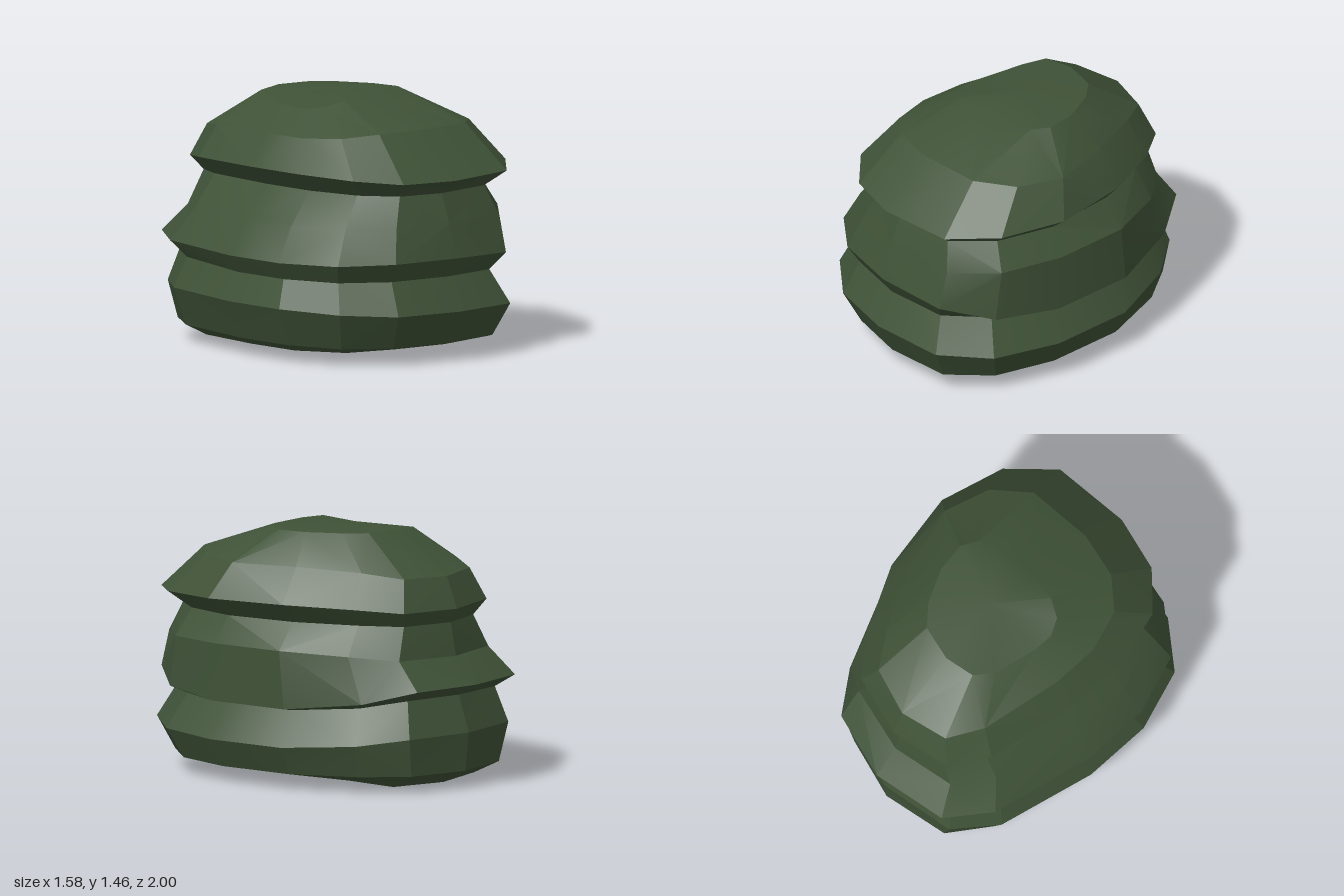
import * as THREE from 'three';
import { toCreasedNormals } from 'three/addons/utils/BufferGeometryUtils.js';

// Rough unit outline seen from above, from the front round through +x
const OUTLINE = [
  [0.02, 1], [0.6, 0.95], [0.88, 0.7], [1, 0.3], [0.97, -0.22], [0.74, -0.65], [0.48, -0.9],
  [-0.05, -1], [-0.61, -0.91], [-0.84, -0.66], [-1, -0.05], [-1, 0.36], [-0.84, 0.72], [-0.5, 0.92],
];

// Each level: extents -x, +x, -z, +z, then height at front, right, back, left,
// then how much the back right corner is cut in
const LEVELS = [
  [-0.62, 0.66, -0.76, 0.87, 0.09, 0.09, 0.02, 0.06, 0],     // underside edge
  [-0.69, 0.68, -0.92, 0.90, 0.10, 0.09, 0.10, 0.10, 0],     // foot
  [-0.79, 0.76, -0.94, 1.00, 0.29, 0.25, 0.32, 0.32, 0],     // lower bulge
  [-0.72, 0.64, -0.87, 0.90, 0.48, 0.45, 0.53, 0.48, 0],     // lower groove
  [-0.78, 0.75, -1.00, 0.97, 0.59, 0.47, 0.60, 0.58, 0],     // middle rim
  [-0.66, 0.75, -0.85, 0.91, 0.78, 0.80, 0.75, 0.78, 0],     // middle shoulder
  [-0.50, 0.65, -0.82, 0.85, 0.95, 0.95, 0.94, 0.96, 0.08],  // upper groove
  [-0.62, 0.79, -0.86, 0.95, 1.03, 1.06, 1.02, 1.07, 0.13],  // upper rim
  [-0.50, 0.68, -0.79, 0.67, 1.29, 1.26, 1.20, 1.25, 0.22],  // cap shoulder
  [-0.31, 0.42, -0.44, 0.26, 1.43, 1.43, 1.43, 1.38, 0.05],  // cap top
];

// Stretch the outline to a level, blending the four heights round it
function ring([x0, x1, z0, z1, front, right, back, left, cut]) {
  return OUTLINE.map(([u, v]) => {
    const wx = u ** 4 / (u ** 4 + v ** 4);
    const y = wx * (u > 0 ? right : left) + (1 - wx) * (v > 0 ? front : back);
    const narrow = 1 - cut * THREE.MathUtils.clamp(-3 * v, 0, 1);
    return [u > 0 ? u * x1 * narrow : -u * x0, y, v > 0 ? v * z1 : -v * z0];
  });
}

function rockGeometry() {
  const n = OUTLINE.length;
  const points = LEVELS.flatMap(ring);
  const bottom = points.push([-0.01, 0, 0.35]) - 1;
  const top = points.push([0.05, 1.455, -0.05]) - 1;
  const index = [];
  const last = (LEVELS.length - 1) * n;
  for (let j = 0; j < n; j++) {
    const k = (j + 1) % n;
    for (let i = 0; i < last; i += n) {
      const a = i + j, b = i + k, c = a + n, d = b + n;
      // alternate the diagonals for an irregular, chiselled surface
      if ((j + i / n) % 2) index.push(a, b, d, a, d, c);
      else index.push(a, b, c, b, d, c);
    }
    index.push(bottom, k, j, last + j, last + k, top);
  }
  const geometry = new THREE.BufferGeometry();
  geometry.setAttribute('position', new THREE.Float32BufferAttribute(points.flat(), 3));
  geometry.setIndex(index);
  return toCreasedNormals(geometry, 0.3);
}

export function createModel() {
  const group = new THREE.Group();
  group.name = 'layeredRock';
  const rock = new THREE.Mesh(rockGeometry(), new THREE.MeshStandardMaterial({ color: 0x3f5237 }));
  rock.name = 'rock';
  group.add(rock);
  return group;
}
